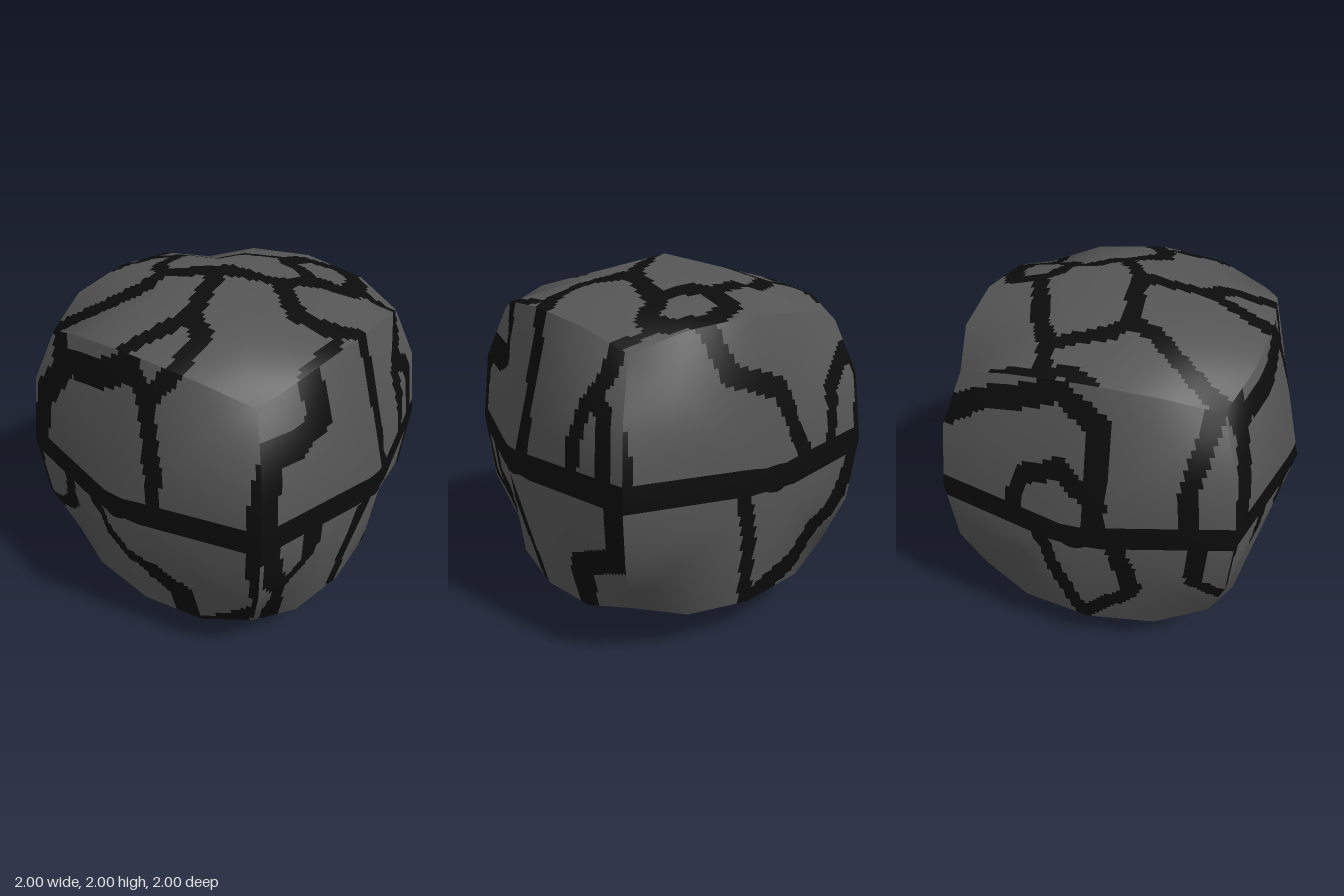
import * as THREE from 'three';

const N = 64; // cells along each side of a face

// Each stroke: half width, then x, y pairs in the plane of its face
const frontCracks = [
  [.062, -.8, 0, .8, 0],
  [.04, .78, .6, .75, .2, .74, 0, .75, -.5, .6, -.65, .4, -.78],
  [.045, -.17, -.07, -.1, -.27, 0, -.39, .15, -.44],
  [.075, .15, -.46, .28, -.57, .3, -.75],
  [.05, -.43, -.07, -.47, -.27, -.58, -.38, -.74, -.45, -.77, -.6],
  [.03, -.77, 0, -.77, -.6],
  [.075, 0, .72, -.2, .62, -.45, .58, -.57, .55, -.59, .74],
  [.08, -.52, .54, -.65, .35, -.72, .05],
  [.045, .03, .74, .13, .58, .18, .4, .23, .07],
  [.05, .13, .6, .25, .75],
];
const rightCracks = [
  [.062, -.8, 0, .8, 0],
  [.045, .05, .78, .08, .45, .09, .07],
  [.045, -.08, -.07, -.1, -.4, -.06, -.78],
  [.07, -.38, .76, -.34, .5, -.5, .42, -.68, .45, -.74, .2, -.75, 0],
  [.05, .61, .75, .58, .55, .47, .38, .45, .1],
  [.05, .5, .43, .62, .38, .66, .1],
  [.07, .38, -.78, .38, -.5, .55, -.42, .7, -.35, .74, -.05],
  [.06, -.45, -.07, -.44, -.3, -.55, -.45, -.57, -.75],
  [.06, -.72, -.05, -.68, -.3, -.57, -.42],
];
const backCracks = [
  [.062, -.8, 0, .8, 0],
  [.055, -.3, .78, -.2, .53, .08, .43, .23, .08],
  [.05, .49, .05, .52, .35, .68, .5, .78, .45],
  [.035, .77, .45, .77, 0],
  [.04, -.17, -.07, -.1, -.35, -.03, -.78],
  [.08, .05, -.75, .28, -.64, .6, -.42, .75, -.1],
  [.035, -.77, .3, -.77, 0],
];
const leftCracks = [
  [.062, -.8, 0, .8, 0],
  [.06, -.74, .45, -.54, .57, -.1, .74, .1, .6, .1, .05],
  [.05, -.35, .05, -.29, .25, -.08, .36, .1, .2],
  [.05, -.2, -.05, -.15, -.3, -.03, -.75],
  [.05, .2, -.05, .27, -.45, 0, -.72],
  [.05, .65, .75, .55, .3, .55, 0],
  [.05, .6, -.05, .6, -.35, .75, -.45],
];
const topCracks = [
  [.045, -.77, .2, -.55, .24, -.37, .34, 0, .48],
  [.06, .05, .5, .07, .66, .25, .74, .42, .65, .45, .5, .3, .37, .1, .43, .05, .5],
  [.035, .45, .6, .78, .58],
  [.05, .28, .72, .35, .78],
  [.06, .3, .33, .27, .1],
  [.045, .27, .08, 0, -.08, -.35, -.12, -.45, -.05, -.55, .22],
  [.055, .27, .08, .48, -.08, .65, -.06, .79, .05],
  [.035, .73, -.1, .75, -.4],
  [.055, -.36, -.12, -.36, -.25, -.6, -.57, -.7, -.78],
  [.05, 0, -.08, .03, -.25, .09, -.42, 0, -.65, -.05, -.78],
  [.05, .1, -.43, .22, -.5, .26, -.75],
  [.04, -.78, -.05, -.72, .08, -.75, .2, -.75, .45, -.73, .76, -.6, .78],
];
const bottomCracks = [
  [.06, .78, -.38, .6, -.2, .34, .05, 0, -.15, .15, -.5, .28, -.75],
  [.045, 0, -.15, -.25, -.6, -.55, -.72],
  [.05, .34, .05, .5, .4, .35, .78],
  [.045, .5, .4, -.12, .43, -.5, .12, -.78, .05],
  [.045, 0, -.15, -.5, .12],
  [.045, .5, .4, .78, .55],
  [.045, .34, .05, .78, .06],
];

// Name, outward normal, right and up directions, crack strokes
const faces = [
  ['front', [0, 0, 1], [1, 0, 0], [0, 1, 0], frontCracks],
  ['right', [1, 0, 0], [0, 0, -1], [0, 1, 0], rightCracks],
  ['back', [0, 0, -1], [-1, 0, 0], [0, 1, 0], backCracks],
  ['left', [-1, 0, 0], [0, 0, 1], [0, 1, 0], leftCracks],
  ['top', [0, 1, 0], [1, 0, 0], [0, 0, -1], topCracks],
  ['bottom', [0, -1, 0], [1, 0, 0], [0, 0, 1], bottomCracks],
];

// Rim of one face quadrant: edge middle, rounded-off edge, corner (out, along, depth)
const rim = [[.79, 0, .79], [.757, .38, .757], [.665, .665, .665]];

// Local position on a face for u, v in -1..1: a shallow pyramid with rounded corners
function surface(u, v) {
  const au = Math.abs(u), av = Math.abs(v);
  const t = Math.max(au, av), w = t ? Math.min(au, av) / t : 0;
  const k = w < .5 ? 0 : 1, f = w * 2 - k;
  const [out, along, depth] = rim[k].map((c, i) => t * (c + (rim[k + 1][i] - c) * f));
  const [x, y] = au >= av ? [out, along] : [along, out];
  return [Math.sign(u) * x, Math.sign(v) * y, 1 - t + depth];
}

// Normal that is creased at the middle of an edge and smooth at the corner
function normal(u, v) {
  const c = .74 * Math.abs(u * v) ** 1.5;
  return [.26 * u + Math.sign(u) * c, .26 * v + Math.sign(v) * c, 1];
}

function inCrack(x, y, strokes) {
  return strokes.some(([w, ...p]) => {
    for (let i = 0; i + 3 < p.length; i += 2) {
      const dx = p[i + 2] - p[i], dy = p[i + 3] - p[i + 1];
      const t = THREE.MathUtils.clamp(((x - p[i]) * dx + (y - p[i + 1]) * dy) / (dx * dx + dy * dy), 0, 1);
      if (Math.hypot(x - p[i] - t * dx, y - p[i + 1] - t * dy) < w) return true;
    }
    return false;
  });
}

export function createModel() {
  const stone = new THREE.MeshStandardMaterial({ color: 0x555555 });
  stone.name = 'grey stone';
  const crack = new THREE.MeshStandardMaterial({ color: 0x0c0c0c });
  crack.name = 'black crack';

  const boulder = new THREE.Group();
  boulder.name = 'boulder';
  boulder.position.y = 1;

  for (const [name, n, r, up, strokes] of faces) {
    const toWorld = new THREE.Matrix4().makeBasis(
      new THREE.Vector3(...r), new THREE.Vector3(...up), new THREE.Vector3(...n));
    const pos = [], nor = [], plates = [], cracks = [];
    for (let j = 0; j <= N; j++) for (let i = 0; i <= N; i++) {
      const u = i / N * 2 - 1, v = j / N * 2 - 1;
      pos.push(...new THREE.Vector3(...surface(u, v)).applyMatrix4(toWorld).toArray());
      nor.push(...new THREE.Vector3(...normal(u, v)).normalize().applyMatrix4(toWorld).toArray());
    }
    // Sort the cells into stone plates and cracks
    for (let j = 0; j < N; j++) for (let i = 0; i < N; i++) {
      const u = (i + .5) / N * 2 - 1, v = (j + .5) / N * 2 - 1;
      const [x, y] = surface(u, v);
      const a = j * (N + 1) + i, b = a + 1, d = a + N + 1, c = d + 1;
      const target = inCrack(x, y, strokes) ? cracks : plates;
      if (u * v > 0) target.push(a, b, c, a, c, d);
      else target.push(a, b, d, b, c, d);
    }
    const position = new THREE.Float32BufferAttribute(pos, 3);
    const normals = new THREE.Float32BufferAttribute(nor, 3);
    for (const [label, index, material] of [['Plates', plates, stone], ['Cracks', cracks, crack]]) {
      const geo = new THREE.BufferGeometry();
      geo.setAttribute('position', position);
      geo.setAttribute('normal', normals);
      geo.setIndex(index);
      const mesh = new THREE.Mesh(geo, material);
      mesh.name = name + label;
      boulder.add(mesh);
    }
  }

  const model = new THREE.Group();
  model.name = 'crackedBoulder';
  model.add(boulder);
  return model;
}
